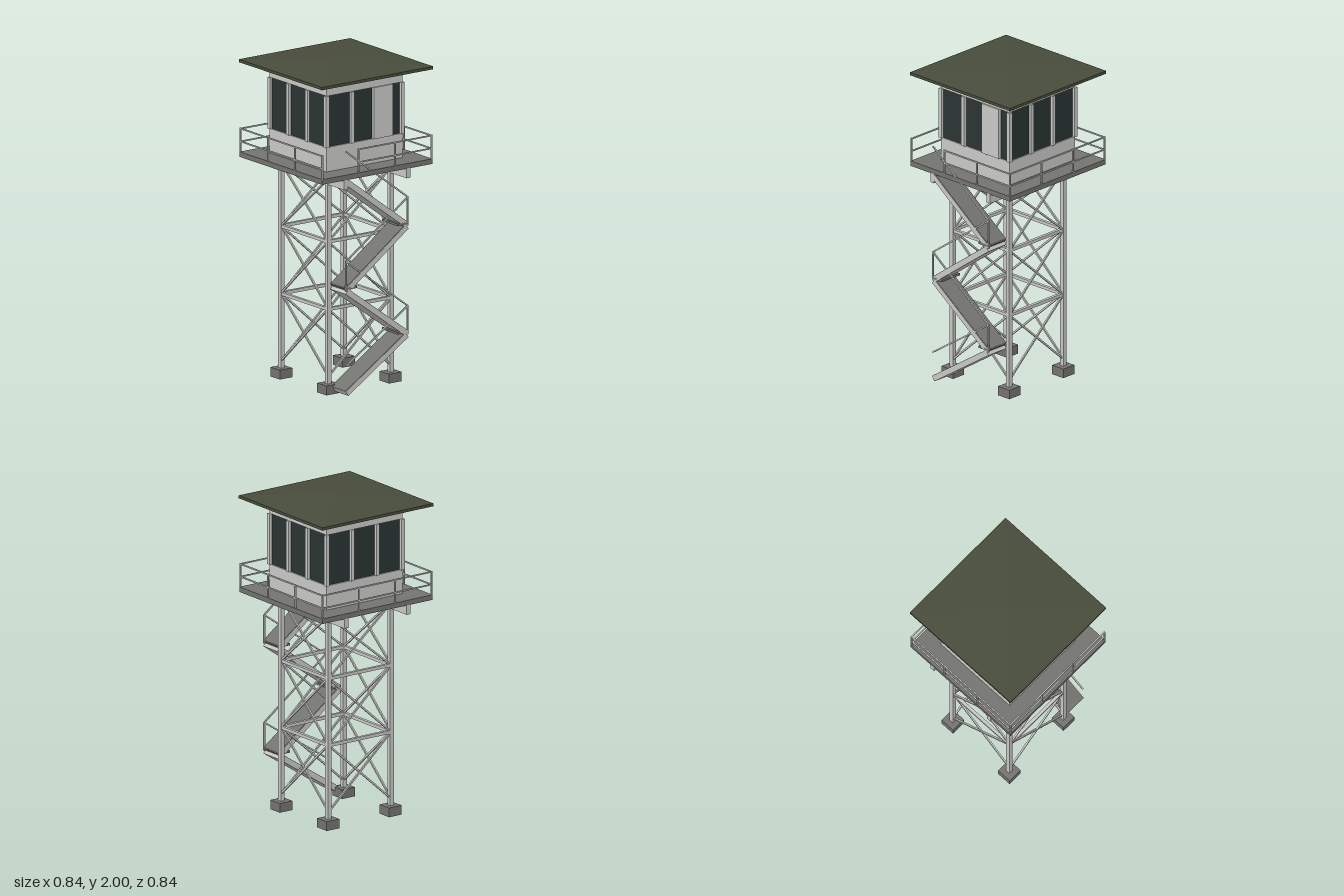
import * as THREE from 'three';

const mat = (name, color) => {
  const m = new THREE.MeshStandardMaterial({ color });
  m.name = name;
  return m;
};

export function createModel() {
  const model = new THREE.Group();
  model.name = 'lookoutTower';
  const steel = mat('lightSteel', 0xc8c8c6);
  const wall = mat('wallPaint', 0xcacac8);
  const deckGrey = mat('deckGrey', 0x73736f);
  const concrete = mat('concrete', 0x737370);
  const glass = mat('darkGlass', 0x2a3533);
  const roofGreen = mat('roofGreen', 0x484c3b);

  const group = (name, parent = model) => {
    const g = new THREE.Group();
    g.name = name;
    parent.add(g);
    return g;
  };
  const box = (parent, name, m, w, h, d, x, y, z) => {
    const mesh = new THREE.Mesh(new THREE.BoxGeometry(w, h, d), m);
    mesh.name = name;
    mesh.position.set(x, y, z);
    parent.add(mesh);
    return mesh;
  };
  // Square bar between two points in a plane of constant z
  const bar = (parent, name, a, b, z, t) => {
    const dx = b[0] - a[0], dy = b[1] - a[1];
    const mesh = box(parent, name, steel, Math.hypot(dx, dy), t, t,
      (a[0] + b[0]) / 2, (a[1] + b[1]) / 2, z);
    mesh.rotation.z = Math.atan2(dy, dx);
  };
  // Repeat a part on all four sides
  const fourSides = (parent, name, build) => {
    for (let s = 0; s < 4; s++) {
      const side = group(name, parent);
      side.rotation.y = s * Math.PI / 2;
      build(side, s);
    }
  };

  // Footings and legs
  const L = 0.235;
  const frame = group('towerFrame');
  for (const x of [-L, L]) for (const z of [-L, L]) {
    box(frame, 'footing', concrete, 0.095, 0.058, 0.095, x, 0.029, z);
    box(frame, 'leg', steel, 0.028, 1.31, 0.028, x, 0.705, z);
  }

  // Girts and cross braces
  const levels = [0.1, 0.52, 0.94, 1.33];
  fourSides(frame, 'bracedSide', (side) => {
    for (let i = 0; i < 3; i++) {
      const y0 = levels[i], y1 = levels[i + 1];
      box(side, 'girt', steel, 2 * L, 0.02, 0.02, 0, y1, L);
      bar(side, 'brace', [-L, y0], [L, y1], L + 0.002, 0.011);
      bar(side, 'brace', [L, y0], [-L, y1], L - 0.002, 0.011);
    }
  });

  // Platform on two long beams
  const platform = group('platform');
  for (const x of [-L, L]) box(platform, 'beam', steel, 0.03, 0.06, 0.83, x, 1.33, 0);
  box(platform, 'deck', deckGrey, 0.83, 0.032, 0.83, 0, 1.375, 0);

  // Railing, with an opening where the stair arrives
  const R = 0.41;
  fourSides(group('railing'), 'railSide', (side, s) => {
    for (let i = 0; i < 3; i++) {
      box(side, 'railPost', steel, 0.009, 0.15, 0.009, -R + i * 2 * R / 3, 1.465, R);
    }
    const start = s === 0 ? -R / 3 : -R;
    for (const y of [1.455, 1.535]) bar(side, 'rail', [start, y], [R, y], R, 0.008);
  });

  // Cabin walls, window band and posts
  const cabin = group('cabin');
  box(cabin, 'lowerWall', wall, 0.57, 0.153, 0.57, 0, 1.4665, 0);
  box(cabin, 'windowBand', glass, 0.555, 0.322, 0.555, 0, 1.702, 0);
  box(cabin, 'upperWall', wall, 0.57, 0.09, 0.57, 0, 1.907, 0);
  fourSides(cabin, 'windowPosts', (side) => {
    for (const x of [-0.283, -0.094, 0.094]) {
      box(side, 'windowPost', wall, 0.025, 0.32, 0.025, x, 1.702, 0.283);
    }
  });
  box(cabin, 'doorPanel', wall, 0.144, 0.32, 0.02, 0.135, 1.703, 0.286);

  // Low pyramid roof on a thin eave
  const roof = group('roof');
  box(roof, 'eave', roofGreen, 0.836, 0.018, 0.836, 0, 1.957, 0);
  const cone = new THREE.ConeGeometry(0.418 * Math.SQRT2, 0.034, 4, 1, true).toNonIndexed();
  cone.computeVertexNormals();
  const slopes = new THREE.Mesh(cone, roofGreen);
  slopes.name = 'roofSlopes';
  slopes.rotation.y = Math.PI / 4;
  slopes.position.y = 1.983;
  roof.add(slopes);

  // Zigzag stair: four flights with landings and an outer handrail
  const stair = group('stair');
  const S = 0.232, zMid = 0.337;
  const turns = [0.025, 0.328, 0.667, 1.003, 1.348];
  const railTops = [0.2, 0.505, 0.85, 1.182, 1.535];
  for (let i = 0; i < 4; i++) {
    const dir = i % 2 ? -1 : 1;
    const y0 = turns[i], y1 = turns[i + 1];
    const slope = Math.atan2(y1 - y0, 2 * S);
    const len = (2 * S - 0.012) / Math.cos(slope);
    const flight = group('flight', stair);
    flight.position.set(0, (y0 + y1) / 2, zMid);
    flight.rotation.z = dir * slope;
    box(flight, 'stringers', steel, len, 0.034, 0.155, 0, 0, 0);
    box(flight, 'treads', deckGrey, len - 0.004, 0.006, 0.149, 0, 0.0165, 0);
    bar(stair, 'handrail', [-dir * S, railTops[i]], [dir * S, railTops[i + 1]], R, 0.009);
    if (i < 3) {
      box(stair, 'landing', deckGrey, 0.08, 0.014, 0.155, dir * 0.193, y1 + 0.016, zMid);
      bar(stair, 'handrailPost', [dir * S, y1], [dir * S, railTops[i + 1]], R, 0.009);
    }
  }
  return model;
}
